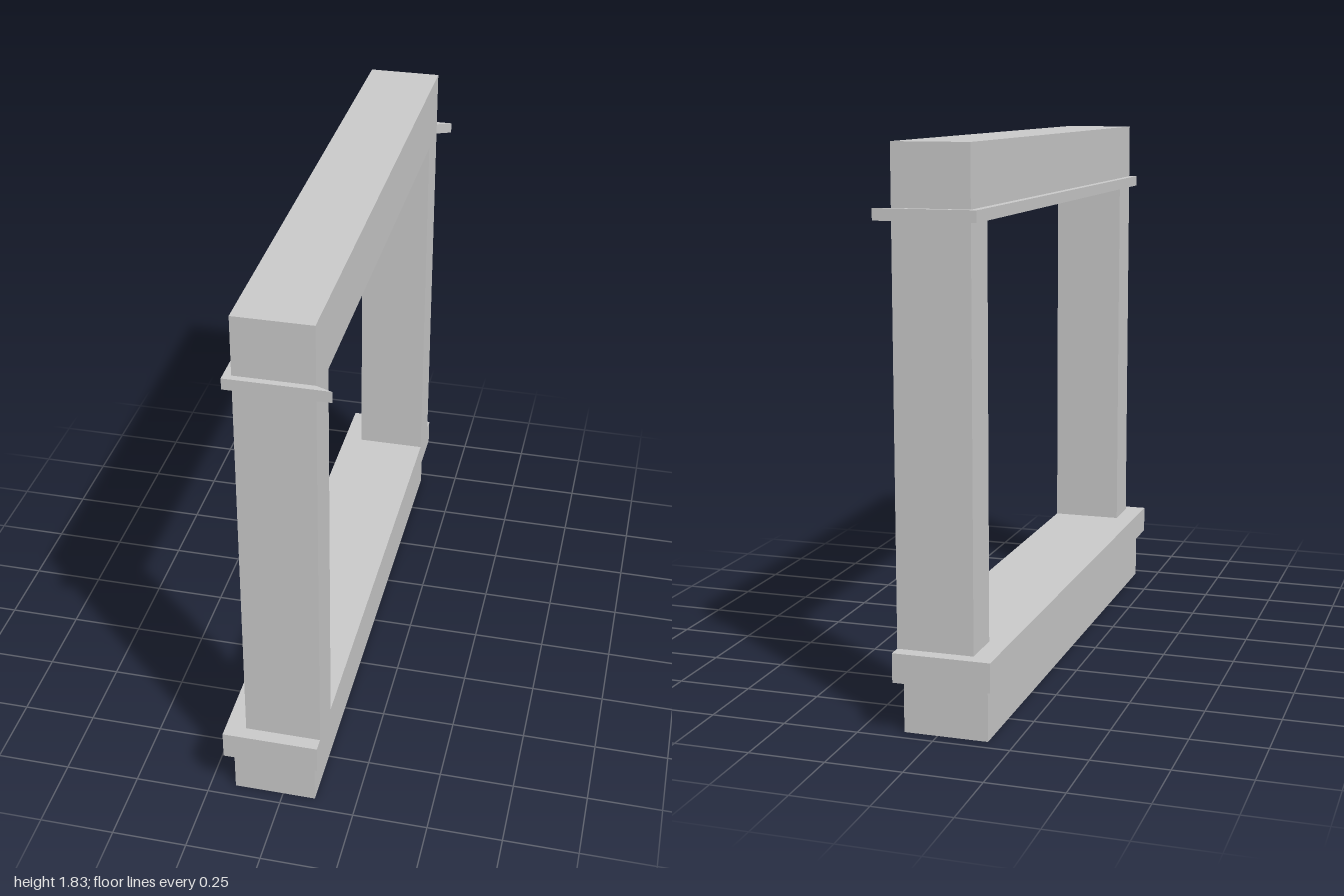
import * as THREE from 'three';

const material = new THREE.MeshStandardMaterial({ color: 0xcccccc, flatShading: true });

const polygon = (points) => new THREE.Shape(points.map(([a, b]) => new THREE.Vector2(a, b)));

export function createModel() {
  const group = new THREE.Group();

  const add = (name, geometry) => {
    const mesh = new THREE.Mesh(geometry, material);
    mesh.name = name;
    group.add(mesh);
  };

  // Box given by its x and y limits, centred on z
  const block = (name, x0, x1, y0, y1, halfZ) => {
    const geometry = new THREE.BoxGeometry(x1 - x0, y1 - y0, 2 * halfZ);
    geometry.translate((x0 + x1) / 2, (y0 + y1) / 2, 0);
    add(name, geometry);
  };

  // Plinth and the wider sill on top of it
  block('plinth', -0.165, 0.11, 0, 0.175, 0.955);
  block('sill', -0.188, 0.13, 0.175, 0.27, 1);

  // Two posts and lintel as one portal, drawn in z/y and extruded along x
  const portal = polygon([
    [-0.955, 0.27], [-0.805, 0.27], [-0.805, 1.597], [0.805, 1.597],
    [0.805, 0.27], [0.955, 0.27], [0.955, 1.825], [-0.955, 1.825],
  ]);
  const frame = new THREE.ExtrudeGeometry(portal, { depth: 0.25, bevelEnabled: false });
  frame.rotateY(-Math.PI / 2).translate(0.13, 0, 0);
  add('frame', frame);

  // Thin moulding wrapping three sides, with pointed ends, drawn in x/z
  const band = polygon([
    [-0.145, -0.977], [0.182, -0.977], [0.13, -0.955], [-0.12, -0.955],
    [-0.12, 0.955], [0.13, 0.955], [0.182, 0.977], [-0.145, 0.977],
  ]);
  const moulding = new THREE.ExtrudeGeometry(band, { depth: 0.037, bevelEnabled: false });
  moulding.rotateX(Math.PI / 2).translate(0, 1.63, 0);
  add('moulding', moulding);

  return group;
}
